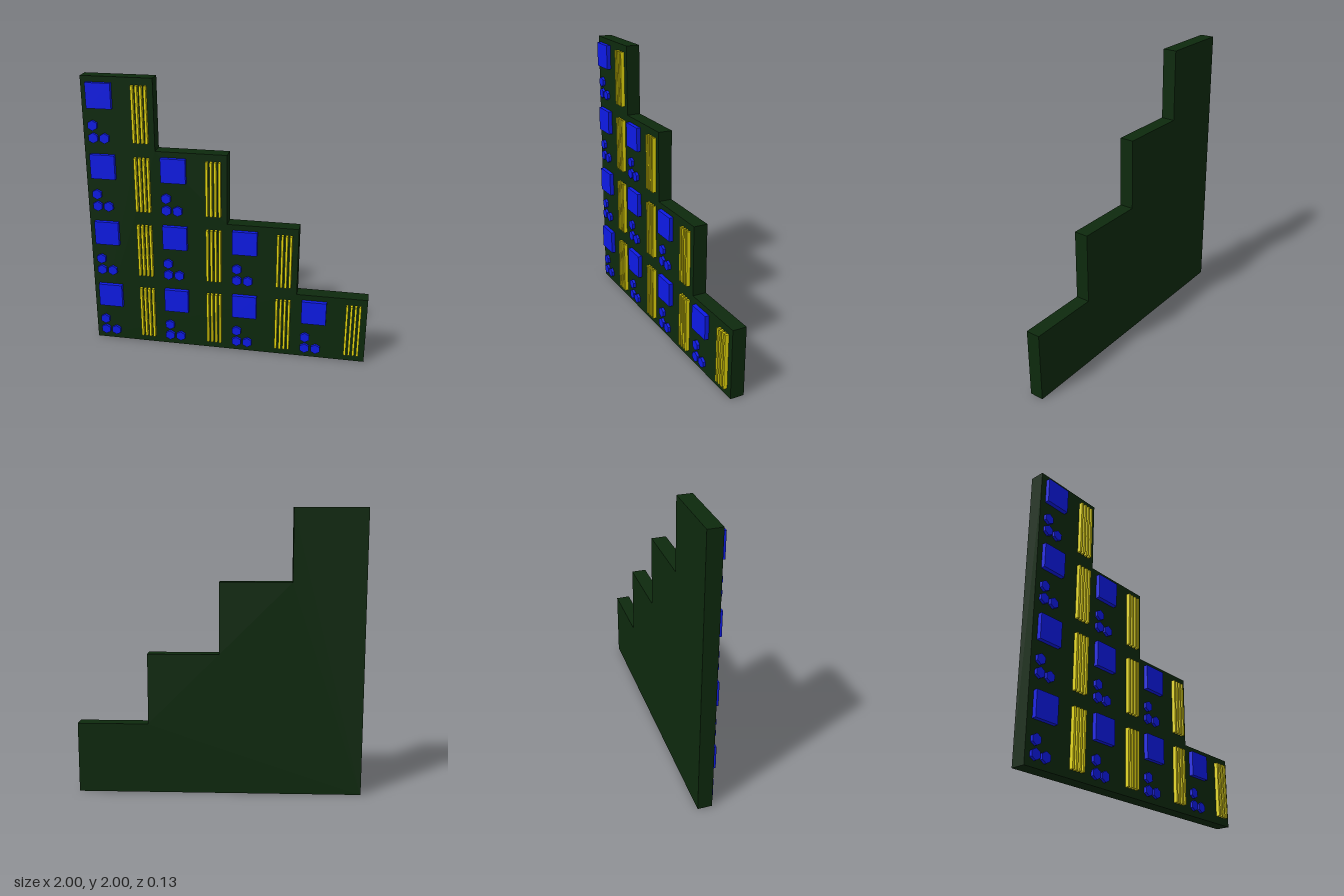
import * as THREE from 'three';

const TILE = 0.5, COUNT = 4;
const FACE = 0.035, BACK = -0.065; // board front and back planes

export function createModel() {
  const model = new THREE.Group();
  model.name = 'steppedCircuitBoard';

  const green = new THREE.MeshStandardMaterial({ color: 0x0d290d, flatShading: true });
  const blue = new THREE.MeshStandardMaterial({ color: 0x0d1ae6, flatShading: true });
  const yellow = new THREE.MeshStandardMaterial({ color: 0xe6d90d, flatShading: true });

  // Stepped board: one staircase outline, extruded
  const outline = new THREE.Shape();
  outline.moveTo(-1, 0);
  outline.lineTo(1, 0);
  for (let i = 1; i <= COUNT; i++) {
    outline.lineTo(1 - (i - 1) * TILE, i * TILE);
    outline.lineTo(1 - i * TILE, i * TILE);
  }
  outline.closePath();
  const boardGeo = new THREE.ExtrudeGeometry(outline, { depth: FACE - BACK, bevelEnabled: false });
  boardGeo.translate(0, 0, BACK);
  const board = new THREE.Mesh(boardGeo, green);
  board.name = 'board';
  model.add(board);

  // Component shapes, each with its back on z = 0
  const chipGeo = new THREE.BoxGeometry(0.175, 0.175, 0.03).translate(0, 0, 0.015);
  const slotGeo = new THREE.BoxGeometry(0.016, 0.395, 0.026).translate(0, 0, 0.013);
  const capacitorGeo = new THREE.CylinderGeometry(0.037, 0.037, 0.02, 6)
    .rotateX(Math.PI / 2).translate(0, 0, 0.01);

  const place = (parent, name, geo, mat, x, y) => {
    const mesh = new THREE.Mesh(geo, mat);
    mesh.name = name;
    mesh.position.set(x, y, 0);
    parent.add(mesh);
  };

  // One set of components per square tile
  for (let row = 0; row < COUNT; row++) {
    for (let col = 0; col < COUNT - row; col++) {
      const tile = new THREE.Group();
      tile.name = 'componentTile';
      tile.position.set(-1 + col * TILE, row * TILE, FACE);
      place(tile, 'processorChip', chipGeo, blue, 0.1275, 0.3725);
      for (const [x, y] of [[0.07, 0.163], [0.07, 0.075], [0.15, 0.075]]) {
        place(tile, 'capacitor', capacitorGeo, blue, x, y);
      }
      for (let i = 0; i < 4; i++) {
        place(tile, 'memorySlot', slotGeo, yellow, 0.36 + i * 0.03, 0.2525);
      }
      model.add(tile);
    }
  }
  return model;
}
